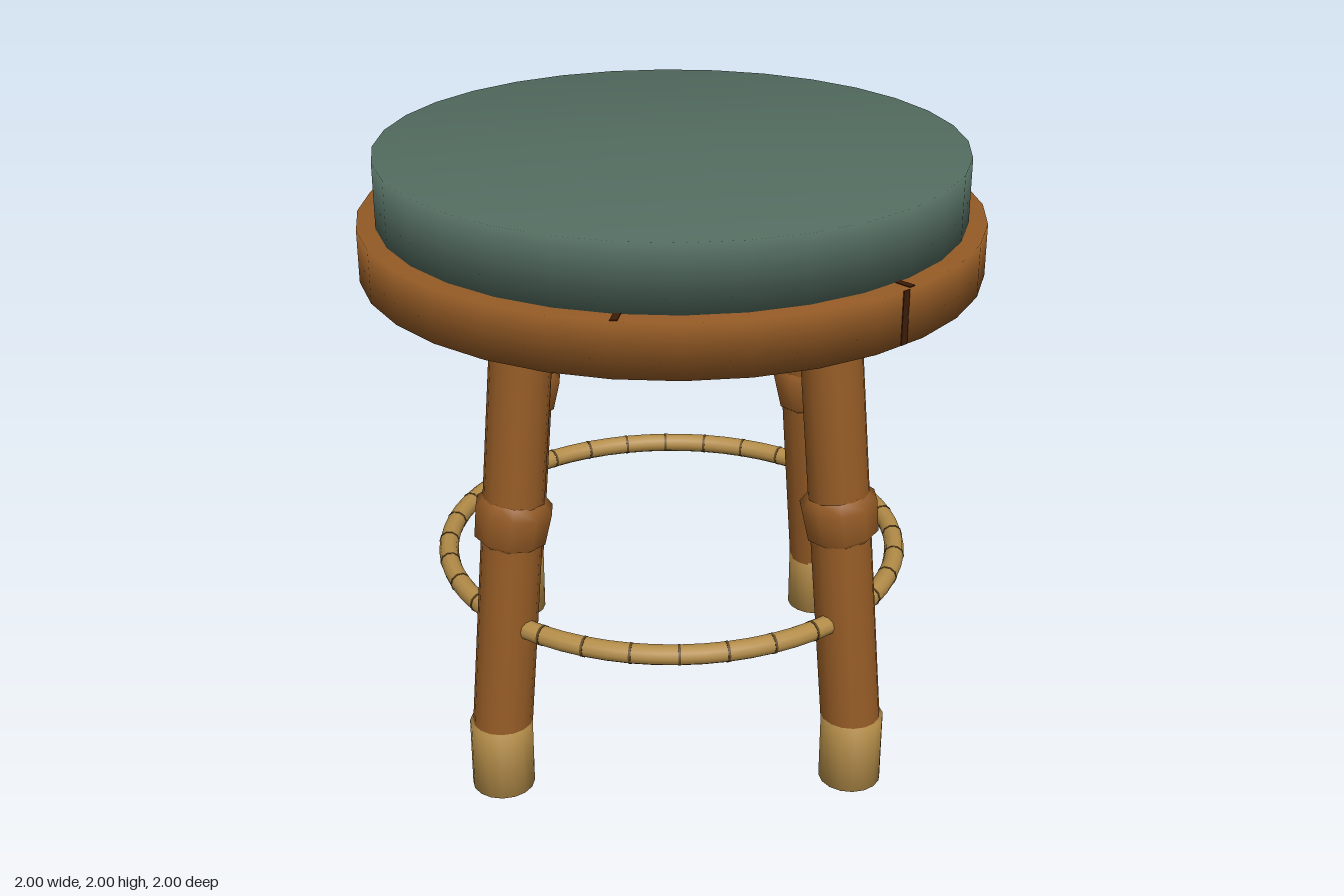
import * as THREE from 'three';

const mat = (name, color) => {
  const m = new THREE.MeshStandardMaterial({ color });
  m.name = name;
  return m;
};

export function createModel() {
  const wood = mat('wood', 0x935a25);
  const cane = mat('cane', 0xb38c48);
  const cushionGreen = mat('cushionGreen', 0x536c60);
  const dark = mat('darkCrack', 0x3d1d09);
  const joint = mat('caneJoint', 0x5f4521);

  const root = new THREE.Group();
  root.name = 'stool';

  const add = (parent, name, geometry, material, x = 0, y = 0, z = 0) => {
    const m = new THREE.Mesh(geometry, material);
    m.name = name;
    m.position.set(x, y, z);
    parent.add(m);
    return m;
  };
  const lathe = (points, sides) =>
    new THREE.LatheGeometry(points.map(([r, y]) => new THREE.Vector2(r, y)), sides);
  const rad = THREE.MathUtils.degToRad;

  // Seat: wooden disc and cushion, shading rolling softly over the rims
  add(root, 'seatBase', lathe([[0, 1.62], [1, 1.62], [1, 1.79], [0, 1.79]], 32), wood);
  add(root, 'cushion', lathe([[0, 1.78], [0.94, 1.78], [0.94, 2], [0, 2]], 32), cushionGreen);

  // Cracks across the rim of the disc
  for (const deg of [40.3, 129.7, 139.7, 229.5]) {
    const a = rad(deg);
    const c = add(root, 'rimCrack', new THREE.BoxGeometry(0.025, 0.168, 0.008), dark,
      0.994 * Math.sin(a), 1.705, 0.994 * Math.cos(a));
    c.rotation.y = a;
  }
  for (const deg of [42, 138, 191, 349]) {
    const a = rad(deg);
    const c = add(root, 'rimTopCrack', new THREE.BoxGeometry(0.022, 0.006, 0.055), dark,
      0.965 * Math.sin(a), 1.79, 0.965 * Math.cos(a));
    c.rotation.y = a;
  }
  // Cracks on the underside
  for (const [x, z, len, turn] of [[0.68, 0.02, 0.18, 0.1], [0.62, -0.58, 0.24, 0.23]]) {
    const c = add(root, 'undersideCrack', new THREE.BoxGeometry(0.014, 0.006, len), dark, x, 1.619, z);
    c.rotation.y = turn;
  }

  // Splayed legs with collars and feet
  const legRadius = 0.097;
  const yLow = 0.17, yHigh = 1.62;
  const offset = (y) => 0.4625 + (1.62 - y) * 0.076;
  const up = new THREE.Vector3(0, 1, 0);
  for (const sx of [1, -1]) {
    for (const sz of [1, -1]) {
      const name = (sz > 0 ? 'front' : 'back') + (sx > 0 ? 'Left' : 'Right') + 'Leg';
      const leg = new THREE.Group();
      leg.name = name;
      root.add(leg);

      const low = new THREE.Vector3(sx * offset(yLow), yLow, sz * offset(yLow));
      const high = new THREE.Vector3(sx * offset(yHigh), yHigh, sz * offset(yHigh));
      const length = low.distanceTo(high);
      const post = new THREE.Group();
      post.name = 'post';
      post.position.copy(low).lerp(high, 0.5);
      post.quaternion.setFromUnitVectors(up, high.clone().sub(low).normalize());
      leg.add(post);
      add(post, 'pole', new THREE.CylinderGeometry(legRadius, legRadius, length, 16), wood);

      // Collar, tipped a little further than the pole
      const yc = 0.95;
      const collar = add(leg, 'collar',
        lathe([[0.09, -0.085], [0.117, -0.062], [0.125, 0.045], [0.095, 0.075]], 10),
        wood, sx * offset(yc), yc, sz * offset(yc));
      collar.rotation.z = sx * 0.15;

      // Foot cap
      add(leg, 'foot', lathe([[0, 0], [0.102, 0], [0.102, 0.24], [0, 0.24]], 16), cane,
        sx * 0.573, 0, sz * 0.573);

      // One weathered leg carries broken lengthwise cracks
      if (sx > 0 && sz < 0) {
        const cracks = [
          [40, [[-0.6, -0.15], [0.12, 0.33], [0.46, 0.68]]],
          [157, [[-0.66, -0.3], [-0.26, -0.02], [0.14, 0.42], [0.46, 0.7]]],
          [260, [[-0.5, -0.2], [0.2, 0.34], [0.4, 0.62]]],
        ];
        for (const [deg, spans] of cracks) {
          spans.forEach(([a, b], i) => {
            const strip = new THREE.CylinderGeometry(legRadius + 0.002, legRadius + 0.002, b - a, 2, 1,
              true, rad(deg + (i % 2 ? 3 : -3)), 0.17);
            add(post, 'legCrack', strip, dark, 0, (a + b) / 2, 0);
          });
        }
      }
    }
  }

  // Cane foot ring running through the legs, with thin joints
  const ring = new THREE.Group();
  ring.name = 'footRing';
  ring.position.y = 0.595;
  root.add(ring);
  const ringRadius = 0.767;
  const hoop = new THREE.TorusGeometry(ringRadius, 0.033, 10, 64);
  hoop.rotateX(Math.PI / 2);
  add(ring, 'hoop', hoop, cane);
  const band = new THREE.CylinderGeometry(0.0345, 0.0345, 0.008, 10);
  band.rotateZ(Math.PI / 2);
  for (let i = 0; i < 32; i++) {
    const a = (i / 32) * Math.PI * 2;
    add(ring, 'ringJoint', band, joint, ringRadius * Math.sin(a), 0, ringRadius * Math.cos(a)).rotation.y = a;
  }

  return root;
}
